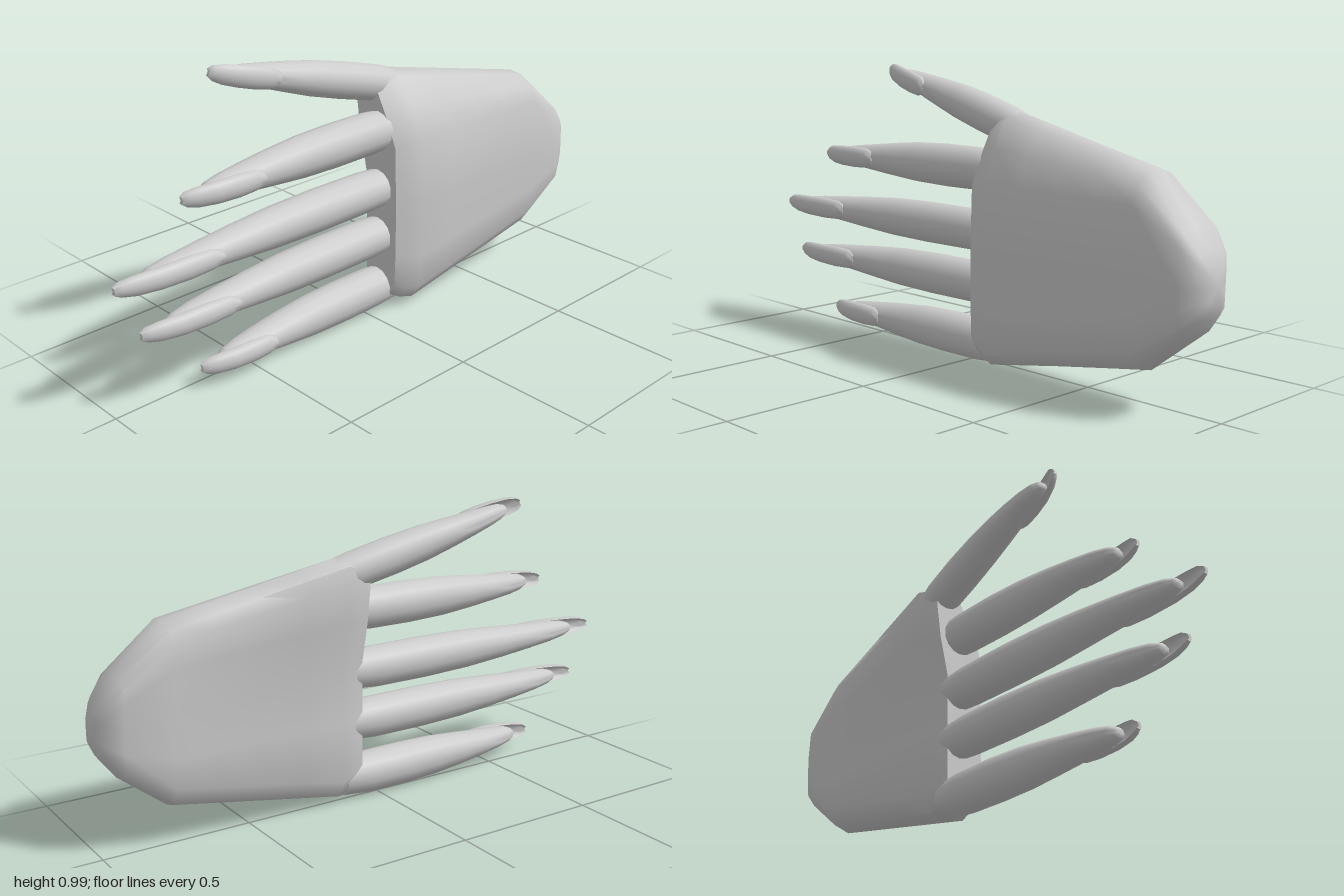
import * as THREE from 'three';
import { toCreasedNormals } from 'three/addons/utils/BufferGeometryUtils.js';

const material = new THREE.MeshStandardMaterial({ color: 0xcccccc });

// Skin closed rings (each a list of [x, y, z], ordered by rising x) and cap both ends.
function loft(name, rings) {
  const n = rings[0].length, last = rings.length - 1;
  const centre = (ring) => [0, 1, 2].map((k) => ring.reduce((s, p) => s + p[k], 0) / n);
  const points = [...rings.flat(), centre(rings[0]), centre(rings[last])];
  const index = [];
  for (let j = 0; j < n; j++) {
    const k = (j + 1) % n;
    for (let i = 0; i < last; i++) {
      const a = i * n + j, b = i * n + k;
      index.push(a, b, b + n, a, b + n, a + n);
    }
    index.push(points.length - 2, k, j);
    index.push(points.length - 1, last * n + j, last * n + k);
  }
  const geometry = new THREE.BufferGeometry();
  geometry.setAttribute('position', new THREE.Float32BufferAttribute(points.flat(), 3));
  geometry.setIndex(index);
  const mesh = new THREE.Mesh(toCreasedNormals(geometry, 0.95), material);
  mesh.name = name;
  return mesh;
}

// Palm outlines [y, z] at the knuckles and near the wrist.
const KNUCKLES = [
  [0.85, -0.03], [0.83, 0.03], [0.74, 0.085], [0.63, 0.138], [0.4, 0.14], [0.2, 0.14],
  [0.08, 0.135], [0.03, 0.1], [0.02, 0.03], [0.03, -0.03], [0.09, -0.06], [0.3, -0.062],
  [0.5, -0.065], [0.65, -0.1], [0.78, -0.11], [0.83, -0.1]];
const WRIST = [
  [0.72, 0.01], [0.715, 0.06], [0.68, 0.11], [0.62, 0.135], [0.42, 0.14], [0.28, 0.14],
  [0.19, 0.135], [0.14, 0.1], [0.12, 0.03], [0.14, -0.03], [0.2, -0.06], [0.3, -0.062],
  [0.45, -0.065], [0.58, -0.067], [0.66, -0.065], [0.7, -0.045]];

function createPalm() {
  const rings = [];
  // finger side thins toward its own mid plane, which leans back at the thumb
  for (const [x, sy, sz] of [[0.08, 0.92, 0.7], [0.12, 0.97, 0.85]]) {
    rings.push(KNUCKLES.map(([y, z]) => {
      const mid = 0.03 - 0.07 * Math.max(0, (y - 0.55) / 0.3);
      return [x, 0.43 + (y - 0.43) * sy, mid + (z - mid) * sz];
    }));
  }
  // body of the palm
  for (const t of [0, 0.25, 0.5, 0.75, 1]) {
    rings.push(KNUCKLES.map(([y, z], i) => [
      0.17 + 0.6 * t,
      THREE.MathUtils.lerp(y, WRIST[i][0], t),
      THREE.MathUtils.lerp(z, WRIST[i][1], t)]));
  }
  // rounded heel
  for (const [x, sy, sz] of [[0.93, 0.55, 0.95], [0.975, 0.34, 0.72], [1, 0.17, 0.35]]) {
    rings.push(WRIST.map(([y, z]) => [x, 0.4 + (y - 0.4) * sy, 0.036 + (z - 0.036) * sz]));
  }
  return loft('palm', rings);
}

// Finger stations: [share of length, half width, back z, front z]
const FINGER = [
  [0, 0.062, -0.045, 0.08], [0.12, 0.071, -0.054, 0.085], [0.3, 0.072, -0.053, 0.087],
  [0.46, 0.068, -0.046, 0.086], [0.6, 0.057, -0.038, 0.085], [0.72, 0.046, -0.026, 0.083],
  [0.82, 0.037, -0.01, 0.08], [0.88, 0.029, 0.006, 0.075], [0.91, 0.018, 0.02, 0.066],
  [0.92, 0.006, 0.034, 0.055]];
// Nail stations: [share of length, half width, front z, thickness]
const NAIL = [
  [0.67, 0.012, 0.086, 0.02], [0.68, 0.025, 0.09, 0.025], [0.71, 0.036, 0.094, 0.025],
  [0.78, 0.039, 0.097, 0.025], [0.87, 0.037, 0.093, 0.024], [0.94, 0.033, 0.08, 0.022],
  [0.98, 0.025, 0.066, 0.02], [1, 0.012, 0.056, 0.014]];

// A finger runs from its origin toward -x, with the nail on the +z side.
function createFinger(name, length, width) {
  const group = new THREE.Group();
  group.name = name;
  const sides = 14;
  const flesh = FINGER.map(([s, w, back, front]) =>
    Array.from({ length: sides }, (_, j) => {
      const a = (j / sides) * Math.PI * 2;
      return [-s * length, Math.cos(a) * w * width,
        (front + back) / 2 + (Math.sin(a) * (front - back)) / 2];
    })).reverse();
  const nail = NAIL.map(([s, w, front, thick]) => {
    const arc = [-1, -0.67, -0.33, 0, 0.33, 0.67, 1].map((t) =>
      [-s * length, -Math.sin(t * 1.3) * w, front - (1 - Math.cos(t * 1.3)) * w * 0.75]);
    const inner = arc.map(([x, y, z]) => [x, y * 0.85, z - thick * 0.8]).reverse();
    return [...arc, ...inner];
  }).reverse();
  group.add(loft(name + 'Flesh', flesh), loft(name + 'Nail', nail));
  return group;
}

export function createModel() {
  const hand = new THREE.Group();
  hand.name = 'hand';
  hand.add(createPalm());

  // four fingers: name, height, total length, width factor
  for (const [name, y, length, width] of [
    ['indexFinger', 0.657, 0.89, 1.02], ['middleFinger', 0.45, 1.14, 1],
    ['ringFinger', 0.272, 1.06, 1], ['littleFinger', 0.077, 0.85, 1.02]]) {
    const finger = createFinger(name, length, width);
    finger.position.set(0.14, y, 0);
    hand.add(finger);
  }

  // thumb, swung upward and back
  const thumb = createFinger('thumb', 0.76, 0.88);
  thumb.position.set(0.2, 0.783, -0.045);
  thumb.rotation.set(0, -0.11, -0.25);
  thumb.scale.z = 0.92;
  hand.add(thumb);
  return hand;
}
